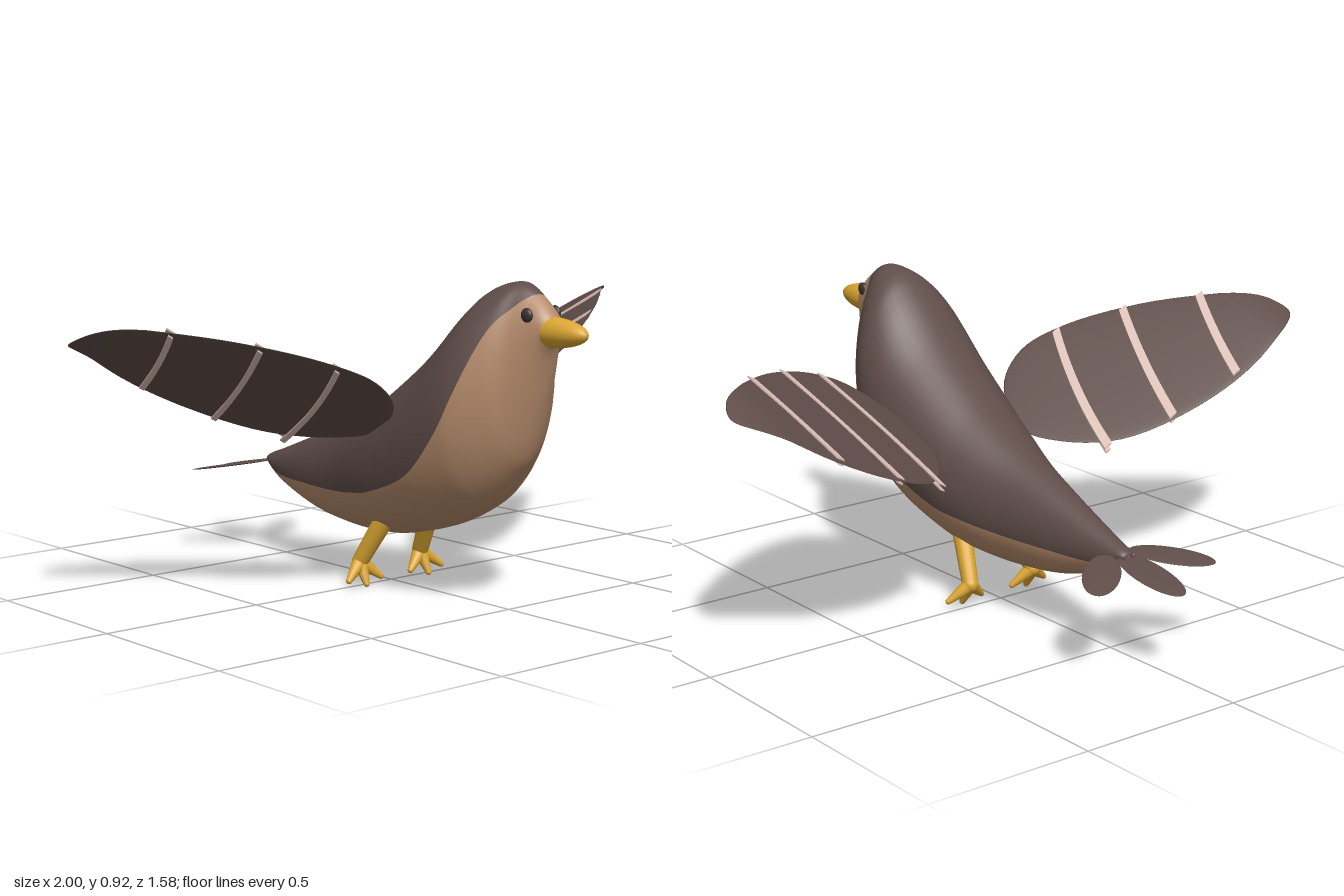
import * as THREE from 'three';

const paint = (name, color) => Object.assign(new THREE.MeshStandardMaterial({ color }), { name });

export function createModel() {
  const brown = paint('brown plumage', 0x5f4d49);
  const tan = paint('tan belly', 0xb58b6b);
  const cream = paint('pale wing bar', 0xdbbfb5);
  const yellow = paint('yellow beak and legs', 0xdba632);
  const dark = paint('dark eye', 0x3a3433);

  const bird = new THREE.Group();
  bird.name = 'bird';
  const add = (parent, name, geometry, material) => {
    const mesh = new THREE.Mesh(geometry, material);
    mesh.name = name;
    parent.add(mesh);
    return mesh;
  };
  const ellipsoid = (parent, name, material, pos, radii) => {
    const mesh = add(parent, name, new THREE.SphereGeometry(1, 32, 20), material);
    mesh.position.set(...pos);
    mesh.scale.set(...radii);
    return mesh;
  };
  const reshape = (geometry, rule) => {
    const p = geometry.attributes.position;
    for (let i = 0; i < p.count; i++) p.setXYZ(i, ...rule(p.getX(i), p.getY(i), p.getZ(i), i));
    geometry.computeVertexNormals();
    return geometry;
  };

  // Body: elliptical sections [z, top, bottom, half width, colour line height]
  const sections = [
    [-0.575, 0.290, 0.282, 0.004, 0.286], [-0.56, 0.306, 0.272, 0.025, 0.28],
    [-0.48, 0.335, 0.222, 0.048, 0.255], [-0.31, 0.40, 0.168, 0.086, 0.256],
    [-0.14, 0.468, 0.146, 0.124, 0.262], [0, 0.535, 0.146, 0.165, 0.278],
    [0.11, 0.60, 0.158, 0.19, 0.30], [0.28, 0.725, 0.205, 0.208, 0.37],
    [0.405, 0.848, 0.265, 0.205, 0.50], [0.468, 0.898, 0.315, 0.185, 0.625],
    [0.53, 0.917, 0.385, 0.14, 0.79], [0.57, 0.912, 0.45, 0.098, 0.85],
    [0.61, 0.888, 0.58, 0.07, 0.888], [0.645, 0.858, 0.72, 0.05, 0.89],
    [0.67, 0.83, 0.765, 0.03, 0.89], [0.68, 0.80, 0.79, 0.004, 0.89],
  ];
  const spline = (pick) => new THREE.CatmullRomCurve3(
    sections.map((s) => new THREE.Vector3(...pick(s))), false, 'catmullrom', 0.5);
  const heights = spline((s) => [s[0], s[1], s[2]]);
  const widths = spline((s) => [s[0], s[3], s[4]]);
  const rings = 120, half = 28, around = half * 2;
  const points = [], back = [], belly = [];
  for (let i = 0; i <= rings; i++) {
    const { x: z, y: top, z: bottom } = heights.getPoint(i / rings);
    const { y: width, z: line } = widths.getPoint(i / rings);
    const mid = (top + bottom) / 2, ry = (top - bottom) / 2;
    const edge = Math.acos(THREE.MathUtils.clamp((line - mid) / ry, -1, 1));
    for (let j = 0; j < around; j++) {
      const a = j <= half
        ? -edge + (2 * edge * j) / half
        : edge + (2 * (Math.PI - edge) * (j - half)) / half;
      points.push(width * Math.sin(a), mid + ry * Math.cos(a), z);
      if (i === rings) continue;
      const k = (j + 1) % around, r = i * around, n = r + around;
      (j < half ? back : belly).push(r + j, n + j, r + k, r + k, n + j, n + k);
    }
  }
  const bodyGeometry = new THREE.BufferGeometry();
  bodyGeometry.setAttribute('position', new THREE.Float32BufferAttribute(points, 3));
  bodyGeometry.setIndex([...back, ...belly]);
  bodyGeometry.addGroup(0, back.length, 0);
  bodyGeometry.addGroup(back.length, belly.length, 1);
  bodyGeometry.computeVertexNormals();
  add(bird, 'body', bodyGeometry, [brown, tan]);

  // Beak
  ellipsoid(bird, 'beak', yellow, [0, 0.79, 0.65], [0.044, 0.042, 0.14]);

  // Tail feathers, fanned and tilted down
  const tail = new THREE.Group();
  tail.name = 'tail';
  tail.position.set(0, 0.29, -0.53);
  tail.rotation.x = -0.19;
  bird.add(tail);
  ellipsoid(tail, 'middleTailFeather', brown, [0, 0, -0.138], [0.057, 0.004, 0.13]);
  for (const s of [-1, 1]) {
    const feather = ellipsoid(tail, 'sideTailFeather', brown, [s * 0.128, 0, -0.08], [0.052, 0.004, 0.122]);
    feather.rotation.y = -s * 0.83;
  }

  // Wing outline as [x, z], lying on a raised, tilted sheet
  const outline = new THREE.CatmullRomCurve3([
    [0.165, 0.12], [0.22, 0.267], [0.326, 0.315], [0.46, 0.283], [0.674, 0.16],
    [0.887, -0.016], [0.98, -0.1], [0.998, -0.16], [0.94, -0.21], [0.78, -0.245],
    [0.567, -0.22], [0.353, -0.134], [0.22, 0],
  ].map(([x, z]) => new THREE.Vector3(x, 0, z)), true);
  const sheet = (x, z) => 0.324 + 0.553 * x + 0.449 * z - 2 * Math.max(0, x - 0.85) ** 2;
  const thick = 0.008;
  const bars = [
    [[0.305, -0.125], [0.34, 0.085], [0.433, 0.28]],
    [[0.497, -0.195], [0.54, 0], [0.62, 0.185]],
    [[0.715, -0.232], [0.75, -0.09], [0.81, 0.045]],
  ];

  // A cone-like limb with a round end
  const limb = (parent, name, a, b, ra, rb) => {
    const from = new THREE.Vector3(...a), to = new THREE.Vector3(...b);
    const dir = to.clone().sub(from);
    const mesh = add(parent, name, new THREE.CylinderGeometry(rb, ra, dir.length(), 16), yellow);
    mesh.position.copy(from).addScaledVector(dir, 0.5);
    mesh.quaternion.setFromUnitVectors(new THREE.Vector3(0, 1, 0), dir.normalize());
    ellipsoid(parent, name + 'End', yellow, b, [rb, rb, rb]);
  };

  for (const s of [1, -1]) {
    const side = new THREE.Group();
    side.name = s > 0 ? 'leftSide' : 'rightSide';
    side.scale.x = s;
    bird.add(side);

    // Wing: a flattened sphere stretched to the outline
    const ball = new THREE.SphereGeometry(1, 72, 24);
    const uv = ball.attributes.uv;
    add(side, 'wing', reshape(ball, (px, py, pz, i) => {
      const r = Math.hypot(px, pz), rim = outline.getPoint(THREE.MathUtils.euclideanModulo(uv.getX(i), 1));
      const x = 0.55 + r * (rim.x - 0.55), z = 0.02 + r * (rim.z - 0.02);
      return [x, sheet(x, z) + thick * py, z];
    }), brown);

    // Pale bars on both faces of the wing
    for (const bar of bars) {
      const path = new THREE.QuadraticBezierCurve(...bar.map((p) => new THREE.Vector2(...p)));
      for (const face of [1, -1]) {
        const strip = new THREE.BoxGeometry(face > 0 ? 0.026 : 0.016, 0.005, 1, 1, 1, 16);
        add(side, 'wingBar', reshape(strip, (px, py, pz) => {
          const p = path.getPoint(pz + 0.5), x = p.x + px;
          return [x, sheet(x, p.y) + face * thick + py, p.y];
        }), cream);
      }
    }

    // Eye
    ellipsoid(side, 'eye', dark, [0.053, 0.835, 0.616], [0.011, 0.02, 0.02]);

    // Leg and three toes
    const ankle = [0.116, 0.07, -0.004];
    limb(side, 'leg', [0.088, 0.2, 0.07], ankle, 0.029, 0.024);
    for (const tip of [[0.058, 0.022, 0.02], [0.12, 0.009, 0.03], [0.178, 0.024, 0.02]])
      limb(side, 'toe', ankle, tip, 0.023, 0.009);
  }
  return bird;
}
